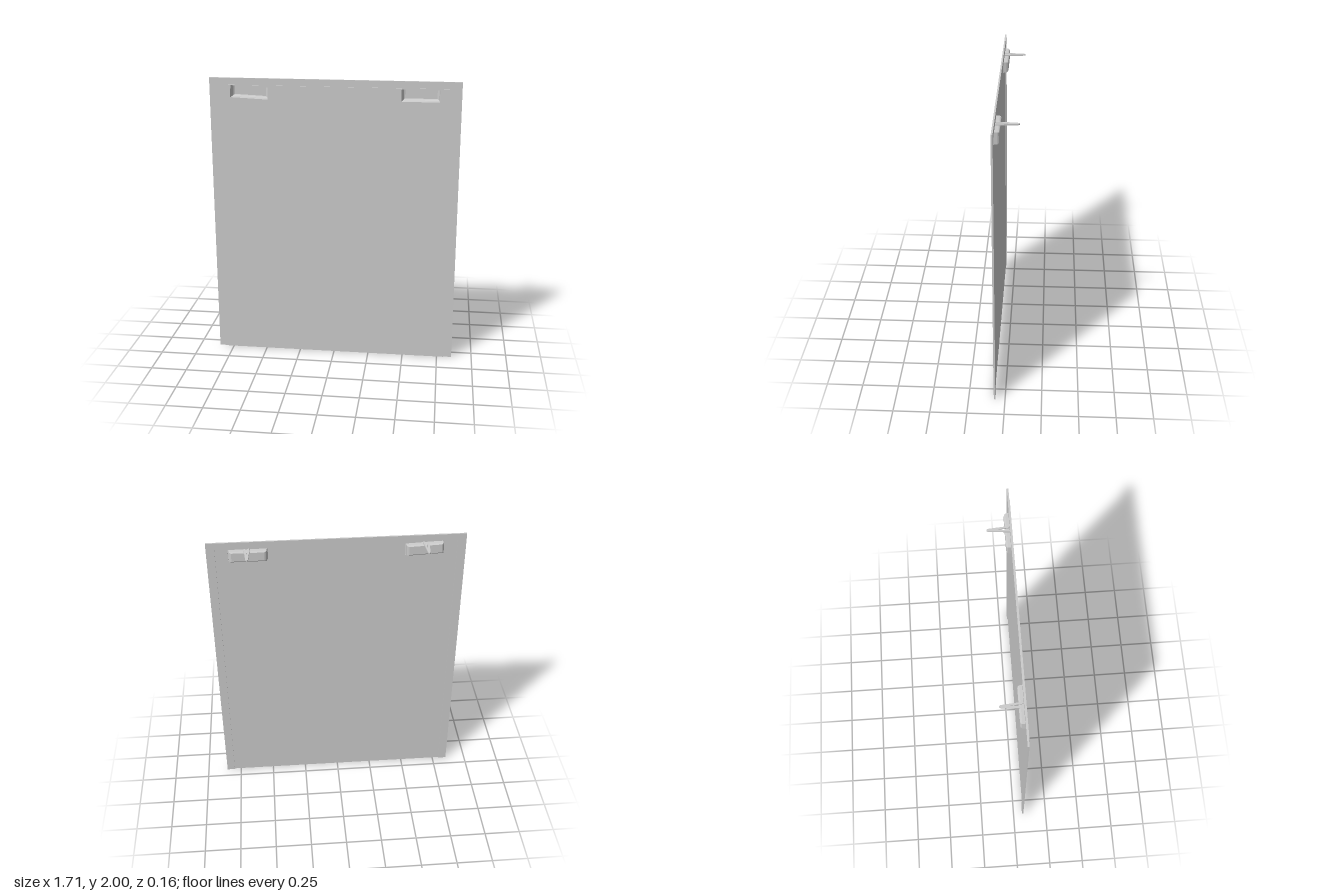
import * as THREE from 'three';

const material = new THREE.MeshStandardMaterial({ color: 0xcccccc, flatShading: true, side: THREE.DoubleSide });

// Flat outline given as [x, y] points
function outline(points, Type = THREE.Shape) {
  return new Type(points.map(([x, y]) => new THREE.Vector2(x, y)));
}

function extrude(name, shape, depth, z) {
  const geometry = new THREE.ExtrudeGeometry(shape, { depth, bevelEnabled: false, curveSegments: 8 });
  const mesh = new THREE.Mesh(geometry, material);
  mesh.name = name;
  mesh.position.z = z;
  return mesh;
}

// Recessed hand pockets: the left one hangs slightly askew
const pockets = [
  { name: 'rightPocket', x: -0.58, y: 1.904, tilt: -0.045, armX: -0.585 },
  { name: 'leftPocket', x: 0.584, y: 1.904, tilt: 0, armX: 0.59 },
];
const HALF_W = 0.13, HALF_H = 0.041;

// Rectangle corners, counter-clockwise
function rectangle(w, bottom, top) {
  return [[-w, bottom], [w, bottom], [w, top], [-w, top]];
}

function pocketHole({ x, y, tilt }) {
  const c = Math.cos(tilt), s = Math.sin(tilt);
  const corners = rectangle(HALF_W, -HALF_H, HALF_H);
  return outline(corners.map(([u, v]) => [x + u * c - v * s, y + u * s + v * c]), THREE.Path);
}

// Open tray: rectangular rings running back from the door face, closed by a floor
function trayGeometry() {
  const rings = [
    [0.082, HALF_W, -HALF_H, HALF_H],
    [0.07, 0.125, -0.039, 0.041],
    [0.047, 0.122, -0.037, 0.04],
    [0.039, 0.117, -0.032, 0.038],
    [0.035, 0.108, -0.026, 0.034],
  ].map(([z, w, bottom, top]) => rectangle(w, bottom, top).map(([x, y]) => [x, y, z]));
  const positions = [];
  const quad = (a, b, c, d) => positions.push(...a, ...b, ...c, ...a, ...c, ...d);
  for (let r = 0; r < rings.length - 1; r++) {
    for (let i = 0; i < 4; i++) {
      const j = (i + 1) % 4;
      quad(rings[r][j], rings[r][i], rings[r + 1][i], rings[r + 1][j]);
    }
  }
  const floor = rings[rings.length - 1];
  quad(floor[3], floor[2], floor[1], floor[0]);
  const geometry = new THREE.BufferGeometry();
  geometry.setAttribute('position', new THREE.Float32BufferAttribute(positions, 3));
  geometry.computeVertexNormals();
  return geometry;
}

// Tapered flat arm with a rounded tip and a V-shaped notch at its root
function armGeometry() {
  const shape = new THREE.Shape();
  shape.moveTo(-0.021, -0.066);
  shape.lineTo(-0.009, -0.066);
  shape.lineTo(0, 0.02);
  shape.lineTo(0.009, -0.066);
  shape.lineTo(0.021, -0.066);
  shape.lineTo(0.009, 0.07);
  shape.quadraticCurveTo(0.006, 0.082, 0, 0.082);
  shape.quadraticCurveTo(-0.006, 0.082, -0.009, 0.07);
  shape.closePath();
  const geometry = new THREE.ExtrudeGeometry(shape, { depth: 0.009, bevelEnabled: false, curveSegments: 6 });
  return geometry.rotateX(-Math.PI / 2);
}

export function createModel() {
  const model = new THREE.Group();
  model.name = 'door';

  // Surround: two jambs and a lintel in one outline
  const frame = outline([
    [-0.855, 0], [-0.797, 0], [-0.797, 1.953], [0.799, 1.953],
    [0.799, 0], [0.855, 0], [0.855, 2], [-0.855, 2],
  ]);
  model.add(extrude('frame', frame, 0.011, 0.066));

  // Door leaf, set a little forward of the frame, with pocket openings
  const leaf = outline([[-0.797, 0], [0.799, 0], [0.799, 1.953], [-0.797, 1.953]]);
  leaf.holes = pockets.map(pocketHole);
  model.add(extrude('doorLeaf', leaf, 0.009, 0.073));

  // Pocket trays and the arms reaching back above them
  const tray = trayGeometry(), armShape = armGeometry();
  for (const { name, x, y, tilt, armX } of pockets) {
    const pocket = new THREE.Mesh(tray, material);
    pocket.name = name;
    pocket.position.set(x, y, 0);
    pocket.rotation.z = tilt;
    const arm = new THREE.Mesh(armShape, material);
    arm.name = name.replace('Pocket', 'Arm');
    arm.position.set(armX, 1.944, 0);
    model.add(pocket, arm);
  }
  return model;
}
